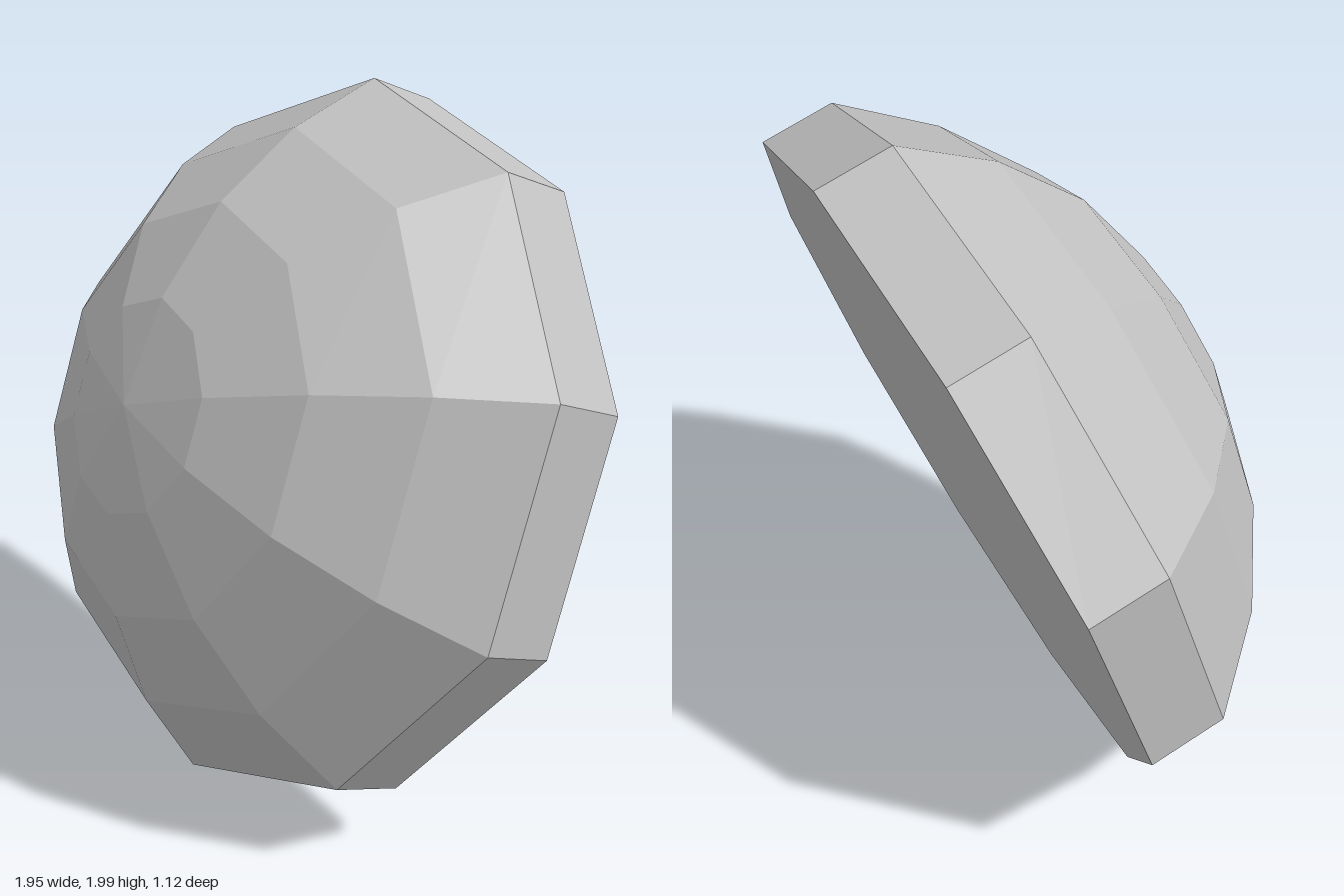
import * as THREE from 'three';

const SIDES = 10;

// Faceted solid of revolution from [radius, height] pairs, bottom to top
function facetedLathe(name, profile, material) {
  const points = profile.map(([r, h]) => new THREE.Vector2(r, h));
  const geometry = new THREE.LatheGeometry(points, SIDES).toNonIndexed();
  geometry.computeVertexNormals();
  const mesh = new THREE.Mesh(geometry, material);
  mesh.name = name;
  return mesh;
}

export function createModel() {
  const grey = new THREE.MeshStandardMaterial({ color: 0xc0c0c0 });
  grey.name = 'light grey';

  const group = new THREE.Group();
  group.name = 'tiltedDome';

  // Flat back, straight rim and domed front, stacked along the local y axis
  const radius = 1.019, back = -0.216;
  group.add(
    facetedLathe('backPlate', [[0, back], [radius, back]], grey),
    facetedLathe('rim', [[radius, back], [radius, 0]], grey),
    facetedLathe('dome', [[radius, 0], [0.823, 0.225], [0.579, 0.4], [0.297, 0.507], [0, 0.542]], grey),
  );

  // Lean the dome back and turn it slightly: local y is its axis, local z points to its top corner
  const axis = new THREE.Vector3(-0.069, 0.335, 0.94).normalize();
  const up = new THREE.Vector3(-0.0074, 0.942, -0.336);
  const side = new THREE.Vector3().crossVectors(axis, up).normalize();
  up.crossVectors(side, axis);
  group.quaternion.setFromRotationMatrix(new THREE.Matrix4().makeBasis(side, axis, up));
  group.position.set(-0.006, 1.04, -0.0125);

  const model = new THREE.Group();
  model.name = 'model';
  model.add(group);
  return model;
}
